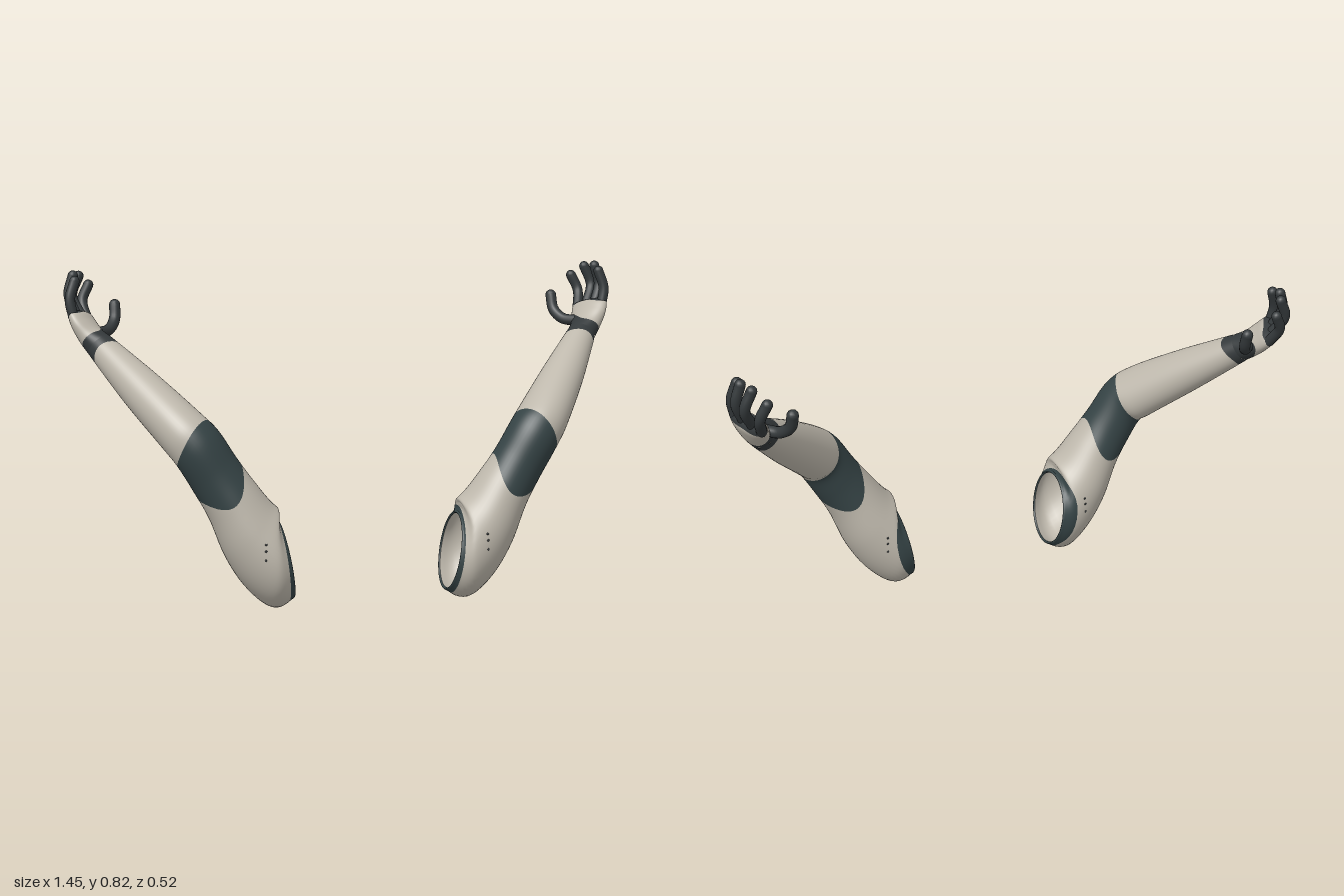
import * as THREE from 'three';
import { mergeGeometries } from 'three/addons/utils/BufferGeometryUtils.js';

const mat = (name, color, side = THREE.FrontSide) => {
  const m = new THREE.MeshStandardMaterial({ color, side });
  m.name = name;
  return m;
};
const V = (x, y, z) => new THREE.Vector3(x, y, z);

// Cross-sections: centre xyz, axis xyz, depth radius, height radius
const ARM = [
  [.217, .117, .143, .985, -.17, 0, .098, .103],
  [.250, .120, .150, .97, .10, 0, .110, .118],
  [.306, .195, .150, .75, .66, 0, .097, .090],
  [.350, .275, .150, .65, .76, 0, .079, .073],
  [.390, .340, .147, .62, .76, -.05, .068, .068],
  [.430, .405, .140, .60, .72, -.35, .069, .067],
  [.465, .445, .108, .53, .58, -.61, .074, .064],
  [.545, .530, .015, .53, .58, -.61, .060, .055],
  [.610, .600, -.065, .53, .58, -.61, .045, .043],
  [.642, .635, -.105, .52, .62, -.58, .037, .036],
];
const HAND = [
  [.642, .635, -.105, .52, .62, -.58, .037, .036],
  [.660, .655, -.128, .50, .68, -.53, .046, .031],
  [.675, .680, -.150, .48, .72, -.48, .056, .027],
  [.685, .702, -.168, .45, .76, -.45, .058, .022],
  [.690, .714, -.176, .45, .76, -.45, .050, .006],
];
const ARM_REF = V(0, 0, 1), HAND_REF = V(.45, .15, .88);

// Point on a limb surface at section number t and angle a
function surfacePoint(secs, ref, t, a, scale = 1) {
  const n = secs.length - 1;
  const i = Math.min(Math.max(Math.floor(t), 0), n - 1), f = t - i;
  const p = secs[i].map((_, k) => {
    const s = j => secs[Math.min(Math.max(j, 0), n)][k];
    const m0 = (s(i + 1) - s(i - 1)) / 2, m1 = (s(i + 2) - s(i)) / 2, d = s(i + 1) - s(i);
    return s(i) + f * (m0 + f * (3 * d - 2 * m0 - m1 + f * (m0 + m1 - 2 * d)));
  });
  const axis = V(p[3], p[4], p[5]).normalize();
  const u = ref.clone().addScaledVector(axis, -ref.dot(axis)).normalize();
  const v = u.clone().cross(axis);
  return V(p[0], p[1], p[2])
    .addScaledVector(u, Math.cos(a) * p[6] * scale)
    .addScaledVector(v, Math.sin(a) * p[7] * scale);
}

// Closed sleeve made from a grid of points, f in 0..1 along, a around
function sleeve(point, rows, cols = 48) {
  const pos = [], idx = [];
  for (let i = 0; i <= rows; i++) {
    for (let j = 0; j < cols; j++) pos.push(...point(i / rows, j / cols * Math.PI * 2).toArray());
  }
  for (let i = 0; i < rows; i++) {
    for (let j = 0; j < cols; j++) {
      const k = (j + 1) % cols, a = i * cols + j, b = i * cols + k;
      idx.push(a, a + cols, b, b, a + cols, b + cols);
    }
  }
  const g = new THREE.BufferGeometry();
  g.setAttribute('position', new THREE.Float32BufferAttribute(pos, 3));
  g.setIndex(idx);
  g.computeVertexNormals();
  return g;
}

// Sleeve between two boundaries that vary with the angle
const patch = (secs, ref, from, to, rows) => sleeve((f, a) =>
  surfacePoint(secs, ref, THREE.MathUtils.lerp(from(a), to(a), f), a), rows);

// Rounded finger along a path
function finger(points, r) {
  const curve = new THREE.CatmullRomCurve3(points.map(p => V(...p)));
  const tip = points[points.length - 1], base = points[0];
  const ball = p => new THREE.SphereGeometry(r, 14, 10).translate(...p);
  return mergeGeometries([new THREE.TubeGeometry(curve, 16, r, 14), ball(tip), ball(base)]);
}

function mirrorX(g) {
  g.scale(-1, 1, 1);
  const ix = g.index.array;
  for (let i = 0; i < ix.length; i += 3) [ix[i], ix[i + 1]] = [ix[i + 1], ix[i]];
  return g;
}

function buildArm(side, m) {
  const arm = new THREE.Group();
  arm.name = side > 0 ? 'leftArm' : 'rightArm';
  const add = (name, geometry, material) => {
    const mesh = new THREE.Mesh(side > 0 ? geometry : mirrorX(geometry), material);
    mesh.name = name;
    arm.add(mesh);
  };
  const c = Math.cos, s = Math.sin;

  // Boundaries between shells and joints
  const start = () => 0;
  const rimEnd = a => .28 + 1.1 * Math.max(0, c(a - 2.6)) ** 2;
  const elbowLow = a => 3.35 - .35 * c(2 * a);
  const elbowHigh = a => 5.3 + .3 * s(a);
  const wristLow = a => 8.45 + .1 * c(2 * a);
  const wristHigh = a => .75 + 1.0 * Math.max(0, c(a - 2.6)) ** 2;
  const knuckle = a => 3.0 + .12 * c(4 * a);

  // Upper arm, elbow and forearm
  add('shoulderRim', patch(ARM, ARM_REF, start, rimEnd, 14), m.joint);
  add('shoulderLip', sleeve((f, a) => surfacePoint(ARM, ARM_REF, 0, a, .93 + .07 * f).add(V(-.004 * s(f * Math.PI), 0, 0)), 4), m.jointOpen);
  add('shoulderLining', sleeve((f, a) => surfacePoint(ARM, ARM_REF, f * 3, a, .93), 16), m.shellOpen);
  add('upperArm', patch(ARM, ARM_REF, rimEnd, elbowLow, 28), m.shell);
  add('elbow', patch(ARM, ARM_REF, elbowLow, elbowHigh, 18), m.joint);
  add('forearm', patch(ARM, ARM_REF, elbowHigh, wristLow, 28), m.shell);

  // Wrist and palm
  add('wrist', patch(ARM, ARM_REF, wristLow, () => 9, 6), m.hand);
  add('wristCuff', patch(HAND, HAND_REF, start, wristHigh, 10), m.hand);
  add('palm', patch(HAND, HAND_REF, wristHigh, knuckle, 16), m.shell);
  add('knuckles', patch(HAND, HAND_REF, knuckle, () => 4, 6), m.hand);

  // Fingers and thumb
  const fingers = {
    indexFinger: [[.664, .692, -.208], [.674, .738, -.238], [.657, .778, -.247]],
    middleFinger: [[.680, .702, -.186], [.702, .755, -.211], [.684, .804, -.217]],
    ringFinger: [[.695, .708, -.160], [.713, .760, -.178], [.701, .808, -.182]],
    littleFinger: [[.706, .708, -.133], [.713, .752, -.138], [.700, .797, -.146]],
  };
  for (const [name, pts] of Object.entries(fingers)) add(name, finger(pts, .0132), m.hand);
  add('thumb', finger([[.643, .664, -.150], [.613, .667, -.180], [.595, .690, -.207], [.592, .727, -.222]], .0145), m.hand);

  // Small vent holes on the front and back of the shoulder
  for (const face of [0, Math.PI]) {
    for (const [t, a] of [[1.5, -.12], [1.6, .03], [1.68, .14]]) {
      const p = surfacePoint(ARM, ARM_REF, t, face + (face ? -a : a));
      add('ventHole', new THREE.SphereGeometry(.003, 8, 6).scale(1, 1, .6).translate(p.x, p.y, p.z), m.hand);
    }
  }
  return arm;
}

export function createModel() {
  const m = {
    shell: mat('paleShell', 0xbeb8ac),
    joint: mat('darkJoint', 0x354345),
    hand: mat('darkHand', 0x34393b),
  };
  m.shellOpen = m.shell;
  m.jointOpen = m.joint;
  m.shell.side = m.joint.side = THREE.DoubleSide;
  const model = new THREE.Group();
  model.name = 'armPair';
  model.add(buildArm(1, m), buildArm(-1, m));
  return model;
}
